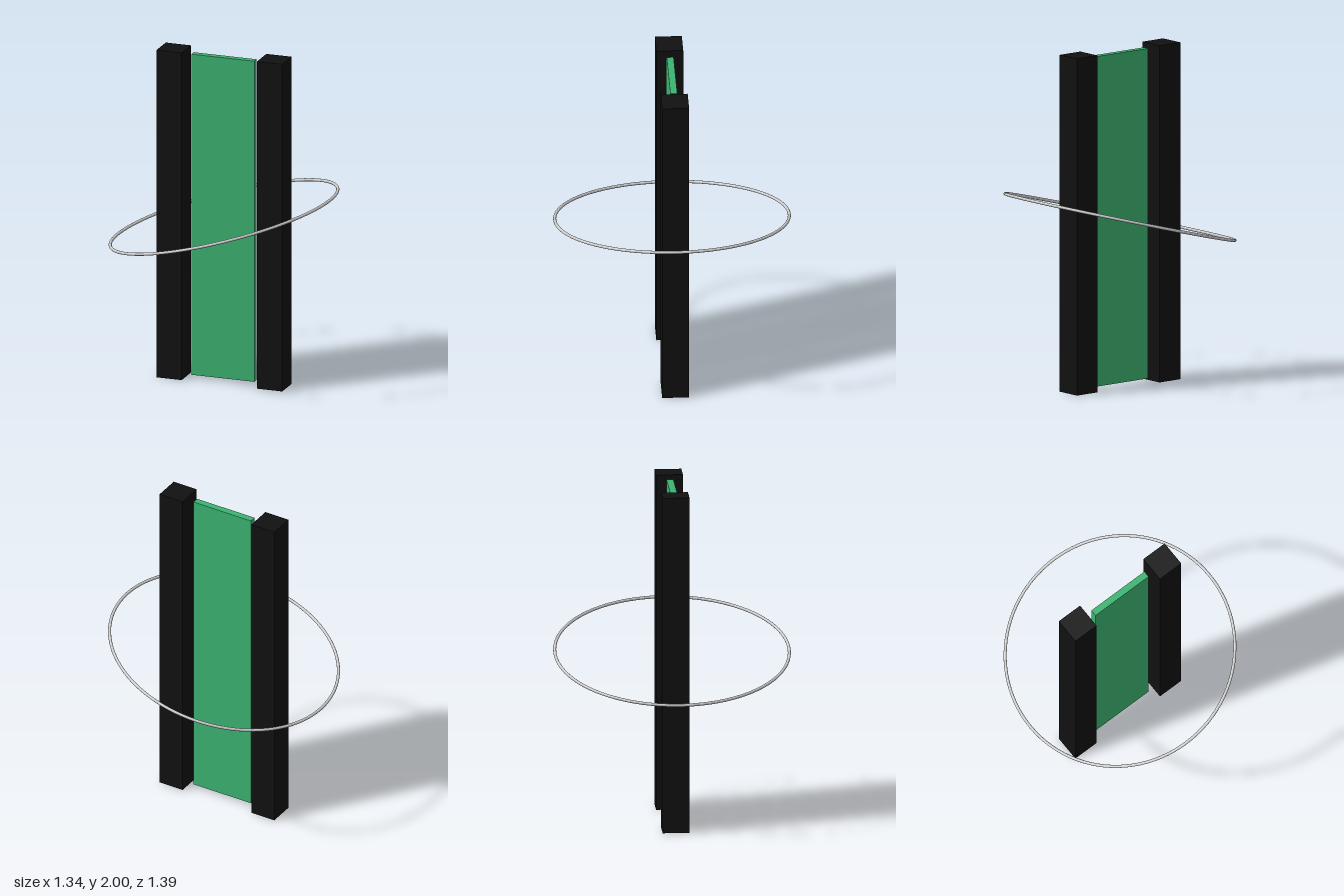
import * as THREE from 'three';

export function createModel() {
  const model = new THREE.Group();
  const black = new THREE.MeshStandardMaterial({ color: 0x111111 });
  const green = new THREE.MeshStandardMaterial({ color: 0x3cb371 });
  const grey = new THREE.MeshStandardMaterial({ color: 0xcccccc });

  const add = (name, geometry, material, x, y) => {
    const mesh = new THREE.Mesh(geometry, material);
    mesh.name = name;
    mesh.position.set(x, y, 0);
    model.add(mesh);
    return mesh;
  };

  // Two square posts flanking the panel
  for (const [name, side] of [['leftPost', 1], ['rightPost', -1]]) {
    add(name, new THREE.BoxGeometry(0.157, 2, 0.157), black, side * 0.313, 1);
  }

  // Thin panel, slightly shorter than the posts
  add('panel', new THREE.BoxGeometry(0.392, 1.96, 0.04), green, 0, 1);

  // Slender ring around the middle, its left side tilted up
  const ringGeometry = new THREE.TorusGeometry(0.684, 0.009, 16, 100);
  ringGeometry.rotateX(Math.PI / 2);
  const ring = add('ring', ringGeometry, grey, 0, 1);
  ring.rotation.z = THREE.MathUtils.degToRad(15);

  return model;
}
